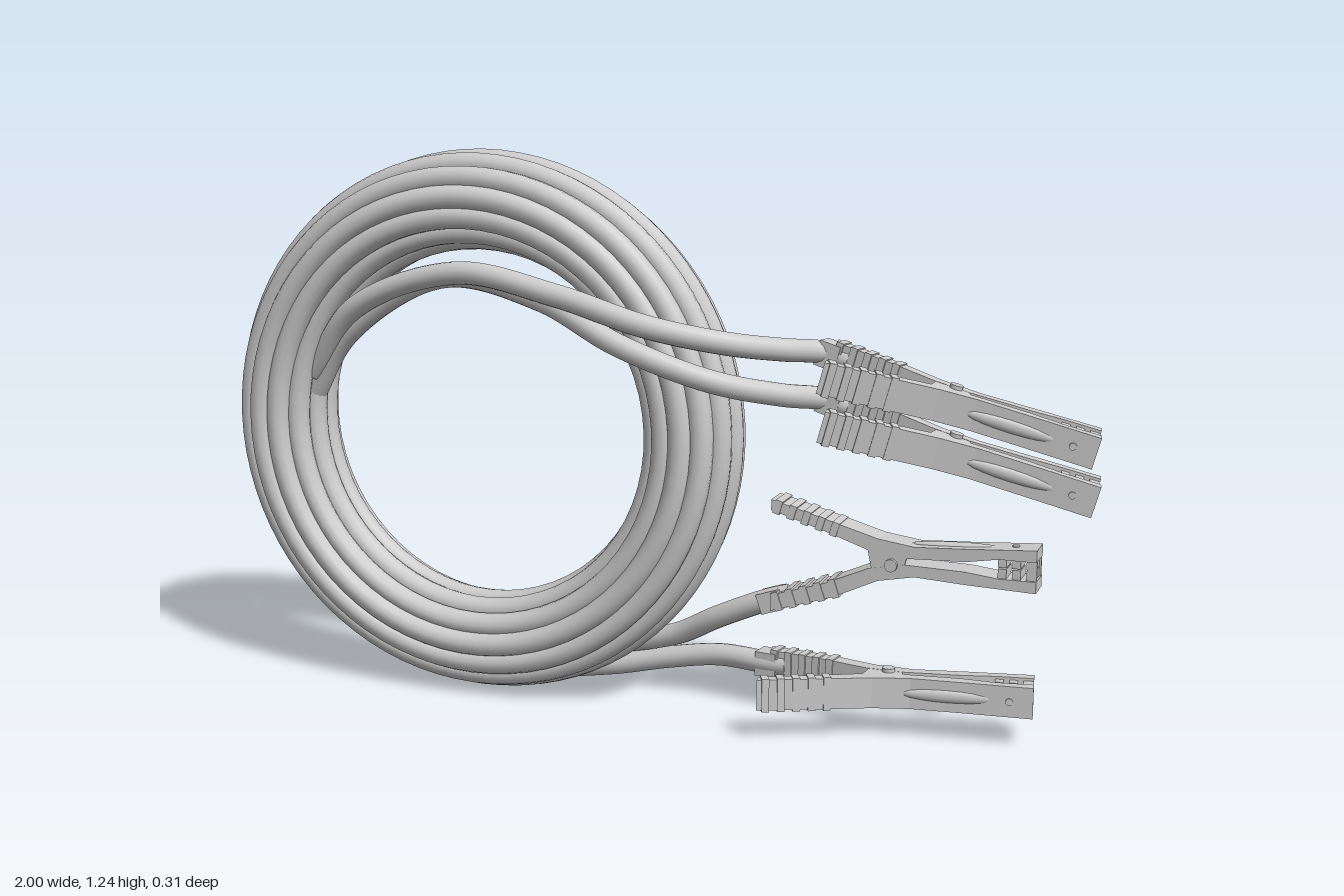
import * as THREE from 'three';

const material = new THREE.MeshStandardMaterial({ color: 0xcccccc });
const CABLE = 0.0255;

function add(parent, name, geometry, x = 0, y = 0, z = 0, rotZ = 0) {
  const mesh = new THREE.Mesh(geometry, material);
  mesh.name = name;
  mesh.position.set(x, y, z);
  mesh.rotation.z = rotZ;
  parent.add(mesh);
  return mesh;
}

// One continuous cable wound twelve times round a rounded section.
class CoilCurve extends THREE.Curve {
  constructor(turns) {
    super();
    this.turns = turns;
  }
  getPoint(t, target = new THREE.Vector3()) {
    const a = t * this.turns * Math.PI * 2;
    const s = -a / this.turns;
    const r = 0.507 + 0.084 * Math.cos(s);
    return target.set(-0.385 + r * Math.cos(a), 0.622 + r * Math.sin(a), -0.02 + 0.094 * Math.sin(s));
  }
}

function extrudeCentred(points, width) {
  const shape = new THREE.Shape(points.map(([x, y]) => new THREE.Vector2(x, y)));
  const geometry = new THREE.ExtrudeGeometry(shape, { depth: width, bevelEnabled: false });
  return geometry.translate(0, 0, -width / 2);
}

// Clamp in its own frame: pivot at the origin, jaws along +x, arms spread in y.
function makeClamp(name) {
  const clamp = new THREE.Group();
  clamp.name = name;

  add(clamp, 'freeArm', extrudeCentred([
    [-0.27, 0.098], [-0.15, 0.062], [-0.05, 0.028], [0.03, 0.017], [0.16, 0.022], [0.23, 0.034], [0.31, 0.034],
    [0.31, 0.06], [0.16, 0.05], [0.05, 0.044], [-0.03, 0.055], [-0.15, 0.089], [-0.27, 0.122],
  ], 0.068));
  add(clamp, 'cableArm', extrudeCentred([
    [-0.27, -0.13], [-0.13, -0.085], [-0.03, -0.038], [0.05, -0.022], [0.16, -0.028], [0.31, -0.033],
    [0.31, -0.008], [0.23, -0.008], [0.16, 0], [0.03, 0.003], [-0.05, -0.012], [-0.15, -0.056], [-0.27, -0.094],
  ], 0.068));

  // Grip ribs on both handles
  for (let i = 0; i < 5; i++) {
    const x = -0.255 + i * 0.032;
    add(clamp, 'gripRib', new THREE.BoxGeometry(0.016, 0.031, 0.074), x, 0.106 - i * 0.0095, 0, -0.29);
    add(clamp, 'gripRib', new THREE.BoxGeometry(0.016, 0.042, 0.074), x, -0.107 + i * 0.0105, 0, 0.33);
  }

  // Sleeve where the cable enters the handle
  add(clamp, 'cableSleeve', new THREE.BoxGeometry(0.05, 0.046, 0.056), -0.275, -0.113, 0, 0.33);

  // Raised tapered ridge and rivet on the outside of each jaw
  for (const [side, y] of [[1, 0.047], [-1, -0.025]]) {
    const ridge = new THREE.SphereGeometry(1, 20, 10).scale(0.1, 0.008, 0.014);
    add(clamp, 'jawRidge', ridge, 0.13, y, 0, side * 0.04);
    add(clamp, 'jawRivet', new THREE.CylinderGeometry(0.008, 0.008, 0.008, 12), 0.26, y + side * 0.009, 0);
  }

  // Metal contact teeth
  for (let i = 0; i < 3; i++) {
    const x = 0.237 + i * 0.03;
    add(clamp, 'upperTooth', new THREE.BoxGeometry(0.018, 0.021, 0.056), x, 0.026, 0);
    add(clamp, 'lowerTooth', new THREE.BoxGeometry(0.018, 0.021, 0.056), x, 0.002, 0);
  }
  for (const z of [-0.025, 0.025]) {
    add(clamp, 'contactStrip', new THREE.BoxGeometry(0.02, 0.046, 0.006), 0.3, 0.013, z);
  }

  // Pivot lugs, pin and spring
  for (const z of [-0.03, 0.03]) {
    add(clamp, 'pivotLug', extrudeCentred([
      [-0.055, 0.04], [-0.04, -0.03], [-0.012, -0.032], [0.022, -0.022], [0.035, 0.025], [0.02, 0.045],
    ], 0.007), 0, 0, z);
  }
  const pin = add(clamp, 'pivotPin', new THREE.CylinderGeometry(0.014, 0.014, 0.084, 16));
  pin.rotation.x = Math.PI / 2;
  for (let i = 0; i < 4; i++) {
    add(clamp, 'springCoil', new THREE.TorusGeometry(0.017, 0.004, 6, 16), 0, 0, -0.015 + i * 0.01);
  }
  return clamp;
}

export function createModel() {
  const model = new THREE.Group();
  model.name = 'clampCables';

  add(model, 'cableCoil', new THREE.TubeGeometry(new CoilCurve(12), 12 * 72, 0.0275, 12, true));

  // Each lead: pivot, slope in the front plane, arms opening sideways or not, cable path
  const leads = [
    {
      name: 'upperClamp', pivot: [0.685, 0.735, -0.03], slope: -0.267, sideways: true,
      path: [[-0.8, 0.72, 0.02], [-0.67, 0.88, 0.06], [-0.4, 0.975, 0.09], [-0.15, 0.94, 0.115],
        [0.06, 0.885, 0.125], [0.22, 0.85, 0.07], [0.32, 0.83, -0.015]],
    },
    {
      name: 'secondClamp', pivot: [0.688, 0.633, -0.03], slope: -0.267, sideways: true,
      path: [[-0.82, 0.65, 0.0], [-0.7, 0.82, 0.03], [-0.45, 0.96, 0.05], [-0.2, 0.925, 0.085],
        [0, 0.84, 0.122], [0.19, 0.77, 0.085], [0.32, 0.732, -0.015]],
    },
    {
      name: 'thirdClamp', pivot: [0.565, 0.375, -0.065], slope: 0, sideways: false,
      path: [[-0.5, 0.09, -0.09], [-0.3, 0.085, -0.115], [-0.1, 0.105, -0.125], [0.05, 0.145, -0.11],
        [0.16, 0.205, -0.08]],
    },
    {
      name: 'lowerClamp', pivot: [0.565, 0.105, -0.03], slope: 0, sideways: true,
      path: [[-0.5, 0.05, -0.06], [-0.3, 0.035, -0.09], [-0.12, 0.05, -0.12], [0.03, 0.082, -0.127],
        [0.15, 0.103, -0.12]],
    },
  ];

  for (const lead of leads) {
    const holder = new THREE.Group();
    holder.name = lead.name + 'Holder';
    holder.position.set(...lead.pivot);
    // Sideways clamps open towards the front and toe in slightly
    holder.rotation.set(lead.sideways ? Math.PI / 2 : 0, 0, lead.slope, 'ZYX');
    const clamp = makeClamp(lead.name);
    clamp.rotation.z = lead.sideways ? -0.165 : 0;
    holder.add(clamp);
    model.add(holder);
    holder.updateMatrixWorld(true);

    // The cable runs into the sleeve along the handle
    const ends = [[-0.29, -0.117], [-0.23, -0.098]].map(([x, y]) => clamp.localToWorld(new THREE.Vector3(x, y, 0)));
    const curve = new THREE.CatmullRomCurve3([...lead.path.map((p) => new THREE.Vector3(...p)), ...ends]);
    add(model, lead.name + 'Cable', new THREE.TubeGeometry(curve, 72, CABLE, 14, false));
  }
  return model;
}
